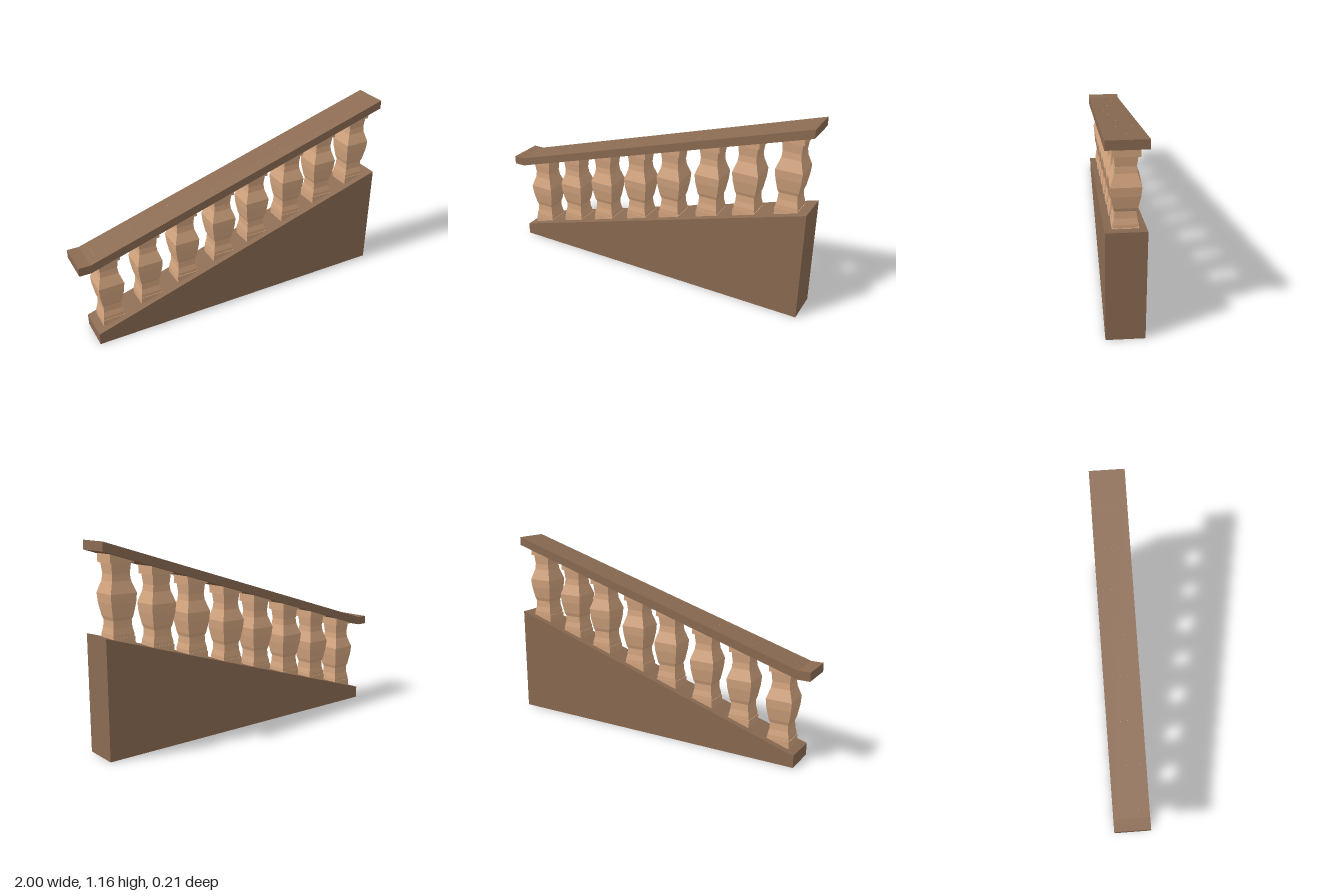
import * as THREE from 'three';

const DEPTH = 0.21;
const START = -0.93;               // x where the slope begins
const SLOPE = 0.59 / 1.93;
const slopeY = (x) => 0.072 + SLOPE * (x - START);

const darkWood = new THREE.MeshStandardMaterial({ color: 0x8b6b52, flatShading: true, side: THREE.DoubleSide });
const paleWood = new THREE.MeshStandardMaterial({ color: 0xd4a57f, flatShading: true, side: THREE.DoubleSide });

function addMesh(parent, name, geometry, material, y = 0) {
  const mesh = new THREE.Mesh(geometry, material);
  mesh.name = name;
  mesh.position.y = y;
  parent.add(mesh);
  return mesh;
}

// Wedge-shaped wall: a box whose top follows the slope, open underneath
function wallGeometry() {
  const g = new THREE.BoxGeometry(1 - START, 1, DEPTH);
  g.translate((1 + START) / 2, 0.5, 0);
  const p = g.attributes.position;
  for (let i = 0; i < p.count; i++) if (p.getY(i) > 0.5) p.setY(i, slopeY(p.getX(i)));
  const index = Array.from(g.index.array);
  index.splice(18, 6);             // bottom face
  g.setIndex(index);
  g.clearGroups();
  g.computeVertexNormals();
  return g;
}

// Handrail: short level nose, then the slope
function railGeometry() {
  const low = 0.515, high = 1.105, t = 0.051;
  const shape = new THREE.Shape([
    [-1, low], [START, low], [1, high], [1, high + t], [START, low + t], [-1, low + t],
  ].map(([x, y]) => new THREE.Vector2(x, y)));
  const g = new THREE.ExtrudeGeometry(shape, { depth: DEPTH, bevelEnabled: false });
  return g.translate(0, 0, -DEPTH / 2);
}

// Square turned body: half-width and height above the slope
function bodyGeometry() {
  const profile = [
    [0.064, 0.024], [0.063, 0.042], [0.056, 0.075], [0.054, 0.114], [0.061, 0.134],
    [0.073, 0.205], [0.077, 0.257], [0.056, 0.322], [0.052, 0.358], [0.058, 0.416],
  ].map(([w, y]) => new THREE.Vector2(w * Math.SQRT2, y));
  return new THREE.LatheGeometry(profile, 4, Math.PI / 4);
}

export function createModel() {
  const model = new THREE.Group();
  model.name = 'stairBalustrade';
  addMesh(model, 'slopedWall', wallGeometry(), darkWood);
  addMesh(model, 'handrail', railGeometry(), darkWood);

  // Balusters share their geometry and step up with the slope
  const body = bodyGeometry();
  const plinth = new THREE.BoxGeometry(0.134, 0.052, 0.134);
  const cap = new THREE.BoxGeometry(0.138, 0.057, 0.138);
  for (const x of [-0.818, -0.573, -0.332, -0.086, 0.144, 0.395, 0.626, 0.872]) {
    const baluster = new THREE.Group();
    baluster.name = 'baluster';
    baluster.position.set(x, slopeY(x), 0);
    addMesh(baluster, 'balusterPlinth', plinth, paleWood, -0.002);
    addMesh(baluster, 'balusterBody', body, paleWood);
    addMesh(baluster, 'balusterCap', cap, paleWood, 0.4445);
    model.add(baluster);
  }
  return model;
}
